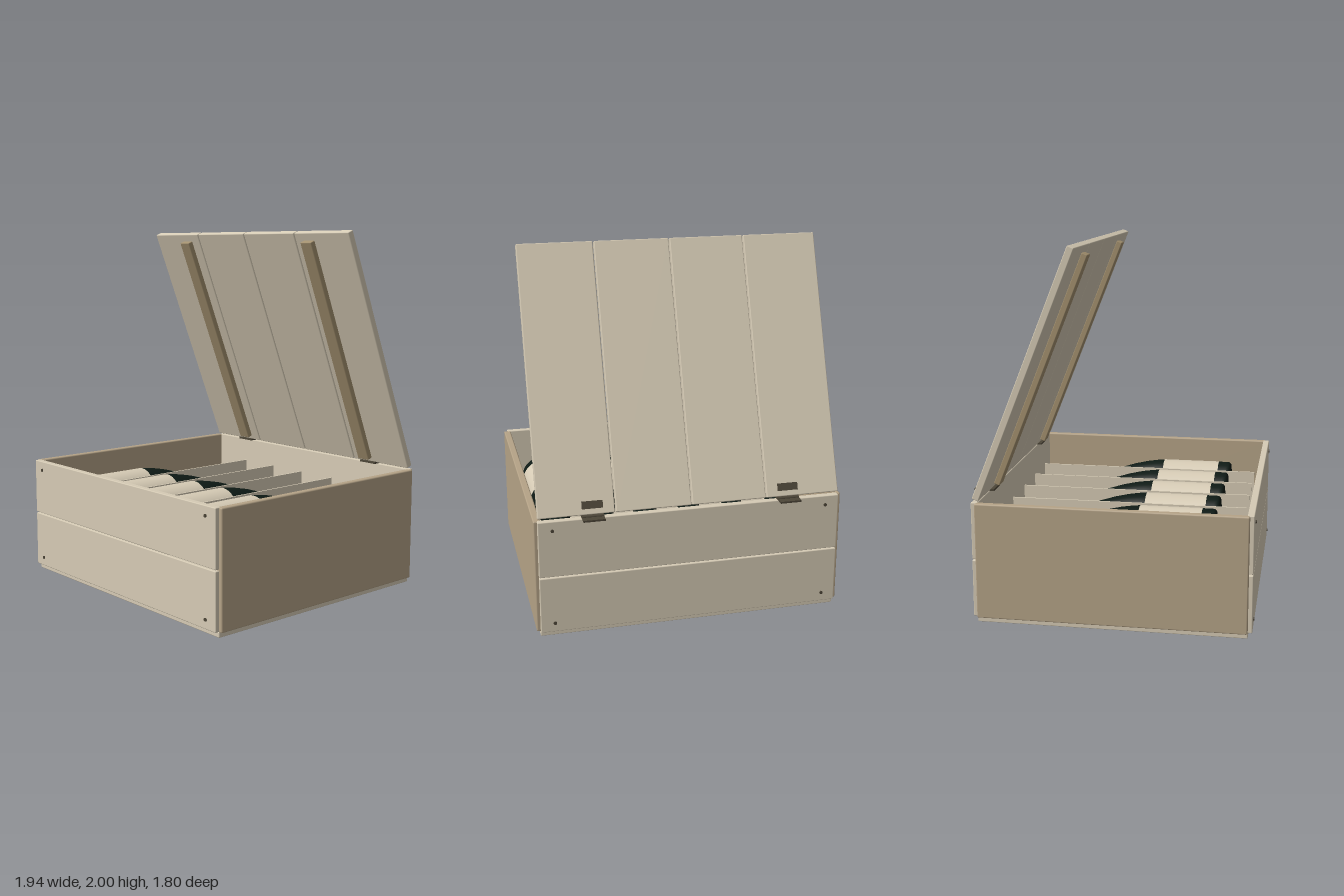
import * as THREE from 'three';
import { RoundedBoxGeometry } from 'three/addons/geometries/RoundedBoxGeometry.js';

const mat = (color, side = THREE.FrontSide) => new THREE.MeshStandardMaterial({ color, side });
const paleWood = mat(0xd6cbb5);
const tanWood = mat(0xb5a387);
const darkWood = mat(0xa4916f);
const metal = mat(0x4d4638);
const glass = mat(0x0e1a15);
const paper = mat(0xd6cbb5, THREE.DoubleSide);
const foil = mat(0x7a6e38);

function add(parent, name, geometry, material, x = 0, y = 0, z = 0) {
  const mesh = new THREE.Mesh(geometry, material);
  mesh.name = name;
  mesh.position.set(x, y, z);
  parent.add(mesh);
  return mesh;
}

// Board given by its size and centre, with slightly eased edges
function board(parent, name, material, [w, h, d], [x, y, z], ease = 0.005) {
  return add(parent, name, new RoundedBoxGeometry(w, h, d, 1, ease), material, x, y, z);
}

function lathe(points, segments = 32) {
  return new THREE.LatheGeometry(points.map(([r, y]) => new THREE.Vector2(r, y)), segments);
}

// Bottle parts along +y, base at y = 0
const glassGeometry = lathe([
  [0, 0.02], [0.07, 0.012], [0.1, 0], [0.112, 0.002], [0.12, 0.012], [0.121, 0.03],
  [0.121, 0.43], [0.117, 0.47], [0.108, 0.53], [0.09, 0.61], [0.068, 0.68],
  [0.05, 0.75], [0.041, 0.8], [0.038, 0.84], [0.037, 0.9],
]);
const labelGeometry = lathe([[0.1225, 0.077], [0.1225, 0.424]]);
const foilGeometry = lathe([
  [0.04, 0.82], [0.04, 0.98], [0.044, 0.982], [0.044, 1.01], [0.041, 1.02], [0.041, 1.025], [0, 1.025],
], 24);

function makeBottle(x, y) {
  const bottle = new THREE.Group();
  bottle.name = 'bottle';
  add(bottle, 'bottleGlass', glassGeometry, glass);
  add(bottle, 'bottleLabel', labelGeometry, paper);
  add(bottle, 'bottleFoil', foilGeometry, foil);
  bottle.rotation.x = -Math.PI / 2;
  bottle.position.set(x, y, 0.512);
  return bottle;
}

function makeLid() {
  const lid = new THREE.Group();
  lid.name = 'lid';
  const length = 1.422, thickness = 0.038, pitch = 0.4095;
  for (let i = 0; i < 4; i++) {
    board(lid, 'lidPlank', paleWood, [pitch - 0.007, length, thickness],
      [(i - 1.5) * pitch, length / 2, thickness / 2]);
  }
  for (const side of [-1, 1]) {
    board(lid, 'lidCleat', darkWood, [0.08, 1.35, 0.034], [side * 0.517, 0.705, thickness + 0.016]);
    // Upper hinge leaf on the outer face
    add(lid, 'hingeLeaf', new THREE.BoxGeometry(0.11, 0.04, 0.012), metal, side * 0.53, 0.05, -0.004);
  }
  lid.position.set(0, 0.68, -0.737);
  lid.rotation.x = THREE.MathUtils.degToRad(21.8);
  return lid;
}

export function createModel() {
  const model = new THREE.Group();
  model.name = 'bottleCrate';
  const crate = new THREE.Group();
  crate.name = 'crate';
  crate.rotation.y = THREE.MathUtils.degToRad(-12.5);
  model.add(crate);

  // Base and solid sides
  board(crate, 'base', paleWood, [1.636, 0.03, 1.438], [0, 0.015, 0]);
  for (const side of [-1, 1]) {
    board(crate, 'sidePanel', tanWood, [0.04, 0.632, 1.438], [side * 0.818, 0.344, 0], 0.008);
  }

  // Two boards and four screws on the front and back
  const screw = new THREE.CylinderGeometry(0.009, 0.009, 0.012, 12);
  for (const face of [-1, 1]) {
    for (const y of [0.187, 0.505]) {
      board(crate, face > 0 ? 'frontBoard' : 'backBoard', paleWood,
        [1.636, 0.312, 0.037], [0, y, face * 0.7235]);
    }
    for (const x of [-0.743, 0.743]) {
      for (const y of [0.082, 0.61]) {
        add(crate, 'screw', screw, metal, x, y, face * 0.742).rotation.x = Math.PI / 2;
      }
    }
  }

  // Inner shelf and dividers
  add(crate, 'shelf', new THREE.BoxGeometry(1.59, 0.02, 1.4), paleWood, 0, 0.293, 0);
  for (let i = -2; i <= 2; i++) {
    add(crate, 'divider', new THREE.BoxGeometry(0.01, 0.5, 1.334), paleWood, i * 0.254, 0.28, 0);
  }

  // Two layers of six bottles
  for (const y of [0.155, 0.43]) {
    for (let i = 0; i < 6; i++) crate.add(makeBottle((i - 2.5) * 0.254, y));
  }

  // Lid and the lower hinge leaves
  crate.add(makeLid());
  for (const side of [-1, 1]) {
    add(crate, 'hingeLeaf', new THREE.BoxGeometry(0.115, 0.01, 0.11), metal, side * 0.53, 0.666, -0.735);
    const pin = new THREE.CylinderGeometry(0.01, 0.01, 0.115, 12);
    add(crate, 'hingePin', pin, metal, side * 0.53, 0.672, -0.742).rotation.z = Math.PI / 2;
  }
  return model;
}
